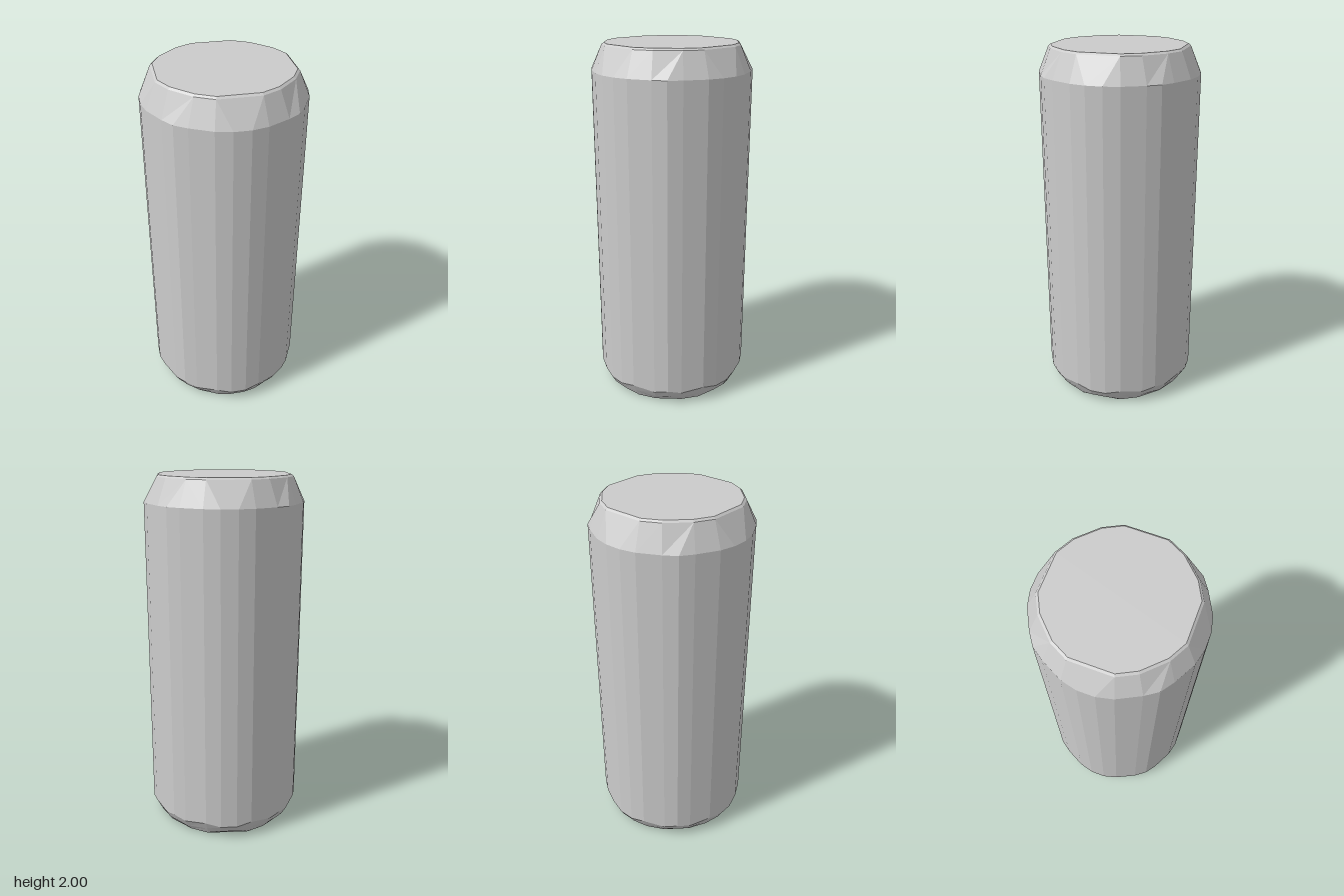
import * as THREE from 'three';

// Quarter outlines (x, z); each is repeated four times around the axis
const BODY = [[0.435, 0.045], [0.415, 0.13], [0.355, 0.245], [0.31, 0.31], [0.245, 0.355], [0.13, 0.415], [0.045, 0.435]];
const RIM = [[0.362, 0.112], [0.312, 0.208], [0.208, 0.312], [0.112, 0.362]];

// Closed ring of points at height y, in order of angle
function ring(quarter, y, scale = 1, ripple = 0) {
  const points = [];
  for (let q = 0; q < 4; q++) {
    quarter.forEach(([x, z], k) => {
      const p = new THREE.Vector3(x * scale, y + (k % 2 ? ripple : -ripple), z * scale);
      for (let n = 0; n < q; n++) p.set(-p.z, p.y, p.x);
      points.push(p);
    });
  }
  return points;
}

// Angle of the n-th point, continuing past a full turn
function angleAt(points, n) {
  if (points.length === 1) return Infinity;
  const p = points[n % points.length];
  const a = Math.atan2(p.z, p.x);
  return (a < 0 ? a + Math.PI * 2 : a) + Math.floor(n / points.length) * Math.PI * 2;
}

// Joins a lower and an upper ring, whose counts may differ; one point closes a cap
function stitch(low, high, out) {
  const add = (...pts) => pts.forEach((p) => out.push(p.x, p.y, p.z));
  const nLow = low.length === 1 ? 0 : low.length;
  const nHigh = high.length === 1 ? 0 : high.length;
  let i = 0, j = 0;
  while (i < nLow || j < nHigh) {
    const a = low[i % low.length], b = high[j % high.length];
    const stepLow = j >= nHigh || (i < nLow && angleAt(low, i + 1) <= angleAt(high, j + 1));
    if (stepLow) add(a, b, low[++i % low.length]);
    else add(a, b, high[++j % high.length]);
  }
}

function band(name, rings, material) {
  const out = [];
  for (let k = 0; k + 1 < rings.length; k++) stitch(rings[k], rings[k + 1], out);
  const geometry = new THREE.BufferGeometry();
  geometry.setAttribute('position', new THREE.Float32BufferAttribute(out, 3));
  geometry.computeVertexNormals();
  const mesh = new THREE.Mesh(geometry, material);
  mesh.name = name;
  return mesh;
}

export function createModel() {
  const group = new THREE.Group();
  group.name = 'can';
  const material = new THREE.MeshStandardMaterial({ color: 0xcccccc, flatShading: true });

  const bodyBottom = ring(BODY, 0.085, 1, 0.008);
  const bodyTop = ring(BODY, 1.855);
  const baseEdge = ring(RIM, 0.01, 1.035);
  const topEdge = ring(RIM, 1.99);
  const lidEdge = ring(RIM, 2, 0.968);
  const footEdge = ring(RIM, 0, 1.01);

  group.add(
    // Flat underside with a thin edge
    band('base', [[new THREE.Vector3(0, 0, 0)], footEdge, baseEdge], material),
    // Rounded, slightly uneven lower bevel
    band('lowerBevel', [baseEdge, ring(BODY, 0.04, 0.945, 0.005), bodyBottom], material),
    // Straight faceted wall
    band('wall', [bodyBottom, bodyTop], material),
    // Steep shoulder narrowing to the rim
    band('shoulder', [bodyTop, topEdge], material),
    // Flat lid with a small chamfer
    band('lid', [topEdge, lidEdge, [new THREE.Vector3(0, 2, 0)]], material),
  );
  return group;
}
